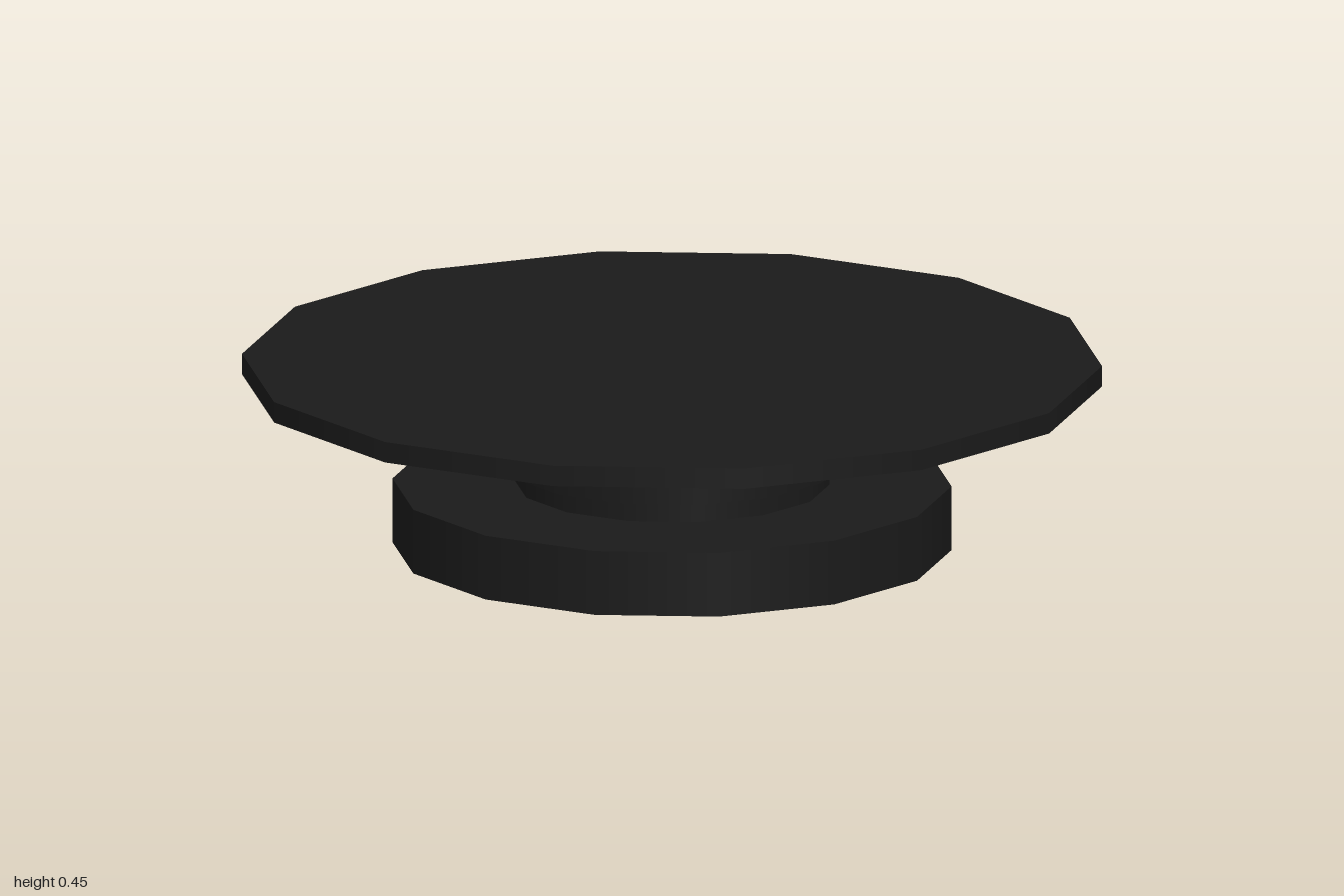
import * as THREE from 'three';

const SIDES = 14;

export function createModel() {
  const model = new THREE.Group();
  const material = new THREE.MeshStandardMaterial({ color: 0x1a1a1a });

  // A solid disc between two heights, with a corner facing the front
  function addDisc(name, radius, bottom, top) {
    const height = top - bottom;
    const disc = new THREE.Mesh(new THREE.CylinderGeometry(radius, radius, height, SIDES), material);
    disc.name = name;
    disc.position.y = bottom + height / 2;
    model.add(disc);
  }

  addDisc('base', 0.65, 0, 0.153);
  addDisc('neck', 0.366, 0.153, 0.202);
  addDisc('column', 0.396, 0.202, 0.398);
  addDisc('topPlate', 1, 0.398, 0.447);

  return model;
}
